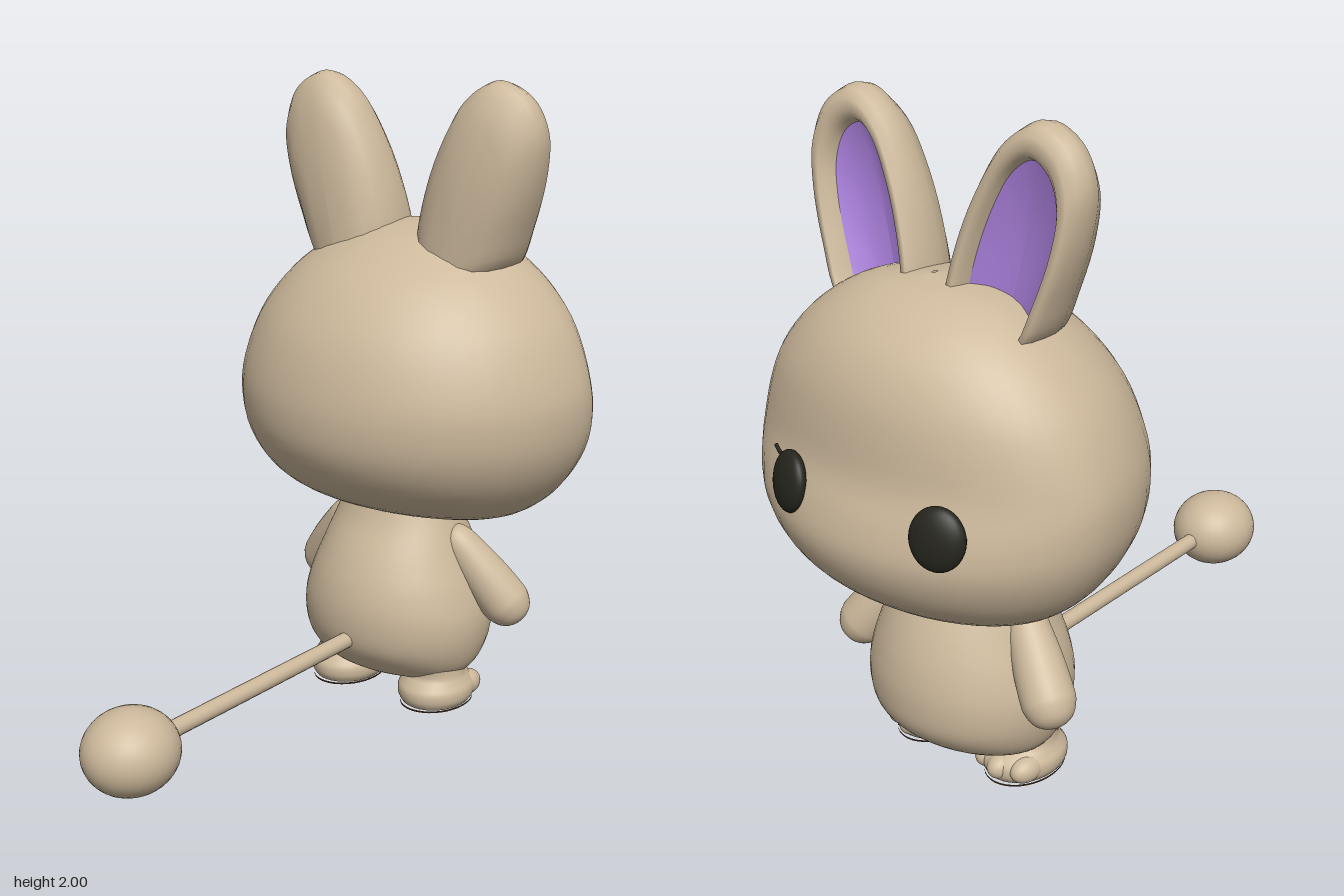
import * as THREE from 'three';

const paint = (name, color, extra = {}) => {
  const m = new THREE.MeshStandardMaterial({ color, ...extra });
  m.name = name;
  return m;
};

// Skin a list of closed rings (each the same length) into a smooth surface
function loft(rings) {
  const n = rings[0].length, pos = [], idx = [];
  rings.forEach(r => r.forEach(p => pos.push(...p)));
  for (let i = 0; i < rings.length - 1; i++) {
    for (let j = 0; j < n; j++) {
      const a = i * n + j, b = i * n + (j + 1) % n;
      idx.push(a, a + n, b, b, a + n, b + n);
    }
  }
  const g = new THREE.BufferGeometry();
  g.setAttribute('position', new THREE.Float32BufferAttribute(pos, 3));
  g.setIndex(idx);
  g.computeVertexNormals();
  return g;
}

// Rounded body from rows of [y, back x, front x, half width], widest at x = mid
function blob(rows, mid, steps = 40, sides = 48) {
  const curve = k => new THREE.SplineCurve(rows.map(r => new THREE.Vector2(r[k], r[0])));
  const back = curve(1), front = curve(2), half = curve(3), rings = [];
  for (let i = 0; i <= steps; i++) {
    const t = i / steps, b = back.getPoint(t), f = front.getPoint(t).x, w = half.getPoint(t).x;
    const ring = [];
    for (let j = 0; j < sides; j++) {
      const a = j / sides * Math.PI * 2, c = Math.cos(a);
      ring.push([mid + c * (c > 0 ? f - mid : mid - b.x), b.y, w * Math.sin(a)]);
    }
    rings.push(ring);
  }
  return loft(rings);
}

// Ear: the outline is scaled through [width, height, x] steps from back to front
function earPart(steps, side) {
  const outline = new THREE.CatmullRomCurve3([
    [.34, 1.43], [.41, 1.57], [.462, 1.74], [.468, 1.86], [.42, 1.955], [.32, 2.0],
    [.22, 1.945], [.14, 1.82], [.08, 1.66], [.05, 1.5], [.06, 1.42], [.2, 1.41],
  ].map(([z, y]) => new THREE.Vector3(0, y, z)), true).getPoints(56).slice(0, 56);
  const centre = y => .2 + (y - 1.45) * .25;
  return loft(steps.map(([sw, sh, x]) => {
    const ring = outline.map(p => {
      const y = 1.41 + (p.y - 1.41) * sh;
      const lean = Math.max(0, (y - 1.45) / .55);
      return [x - .3 * lean * (x - .36), y, side * (centre(y) + (p.z - centre(p.y)) * sw)];
    });
    return side < 0 ? ring.reverse() : ring;
  }));
}

export function createModel() {
  const model = new THREE.Group();
  model.name = 'rabbit';
  const fur = paint('beige fur', 0xcdb99c, { side: THREE.DoubleSide });
  const lilac = paint('lilac inner ear', 0xab80dc, { side: THREE.DoubleSide });
  const dark = paint('dark eye', 0x25251d);
  const brown = paint('brown sole', 0x3d2519);

  const add = (name, geo, mat, x = 0, y = 0, z = 0) => {
    const m = new THREE.Mesh(geo, mat);
    m.name = name;
    m.position.set(x, y, z);
    model.add(m);
    return m;
  };
  const ball = (name, mat, p, r) => {
    const m = add(name, new THREE.SphereGeometry(1, 32, 20), mat, ...p);
    m.scale.set(...r);
    return m;
  };

  // Head with a slight muzzle
  add('head', blob([
    [.61, .545, .555, .005], [.615, .46, .64, .22], [.64, .32, .76, .36], [.7, .18, .855, .46],
    [.78, .08, .92, .53], [.88, .02, .953, .58], [.98, .002, .935, .599], [1.08, .01, .9, .594],
    [1.2, .045, .888, .555], [1.3, .1, .87, .5], [1.4, .185, .825, .41], [1.48, .3, .75, .3],
    [1.53, .41, .66, .18], [1.555, .54, .56, .005],
  ], .55), fur);

  // Body
  add('body', blob([
    [.085, .425, .435, .005], [.088, .32, .54, .2], [.12, .25, .64, .27], [.2, .18, .715, .308],
    [.3, .16, .733, .318], [.4, .172, .724, .295], [.5, .21, .695, .255], [.6, .265, .65, .215],
    [.66, .29, .62, .19],
  ], .44), fur);

  // Tail rod and ball
  const rod = add('tailRod', new THREE.CylinderGeometry(.026, .026, .95, 20), fur, -.255, .235, -.01);
  rod.rotation.z = Math.PI / 2;
  ball('tailBall', fur, [-.815, .235, -.01], [.147, .125, .138]);

  for (const s of [1, -1]) {
    const label = s > 0 ? 'left' : 'right';

    // Ears
    add(label + 'Ear', earPart([
      [0, .35, .352], [.35, .55, .355], [.65, .77, .375], [.87, .92, .415], [.98, .985, .47],
      [1, 1, .52], [.97, .985, .57], [.89, .945, .6], [.78, .89, .6], [.71, .85, .575], [.67, .83, .545],
    ], s), fur);
    add(label + 'InnerEar', earPart([
      [.67, .83, .545], [.45, .68, .51], [.2, .5, .495], [0, .35, .49],
    ], s), lilac);

    // Arm tapering up to the shoulder
    const from = new THREE.Vector3(.525, .35, s * .362), to = new THREE.Vector3(.455, .55, s * .215);
    const len = from.distanceTo(to);
    const profile = [[0, -.08], [.03, -.074], [.058, -.055], [.076, -.02], [.08, .015], [.076, len * .4],
      [.066, len * .75], [.055, len], [.035, len + .035], [0, len + .05]];
    const arm = add(label + 'Arm', new THREE.LatheGeometry(
      new THREE.SplineCurve(profile.map(p => new THREE.Vector2(...p))).getPoints(30)
        .map(p => new THREE.Vector2(Math.max(0, p.x), p.y)), 28), fur, ...from.toArray());
    arm.quaternion.setFromUnitVectors(new THREE.Vector3(0, 1, 0), to.clone().sub(from).normalize());

    // Foot with three toes and a flat sole
    const z = s * .178;
    add(label + 'Foot', blob([
      [.008, .29, .54, .104], [.03, .278, .555, .117], [.06, .278, .555, .118],
      [.085, .295, .535, .105], [.11, .31, .5, .095], [.16, .3, .49, .09],
    ], .41, 20, 32), fur, 0, 0, z);
    for (const k of [-1, 0, 1]) {
      ball(label + 'Toe', fur, [.51 - .025 * Math.abs(k), .05, z + k * .067], [.062, .042, .042]);
    }
    const sole = add(label + 'Sole', new THREE.CircleGeometry(1, 36), brown, .415, .003, z);
    sole.rotation.x = Math.PI / 2;
    sole.scale.set(.138, .108, 1);
    const edge = add(label + 'SoleEdge', new THREE.CylinderGeometry(1, 1, .006, 36, 1, true), brown, .415, .006, z);
    edge.scale.set(.138, 1, .108);

    // Eyes, turned to follow the face
    const eye = ball(label + 'Eye', dark, s > 0 ? [.9, 1, .232] : [.89, .997, -.302], [.035, .088, .08]);
    eye.rotation.set(0, -s * .32, .18);
  }

  // Single eyelash
  const lash = new THREE.CatmullRomCurve3([
    new THREE.Vector3(.885, 1.06, .26), new THREE.Vector3(.88, 1.062, .285), new THREE.Vector3(.87, 1.074, .312),
  ]);
  add('eyelash', new THREE.TubeGeometry(lash, 10, .006, 8), dark);

  return model;
}
